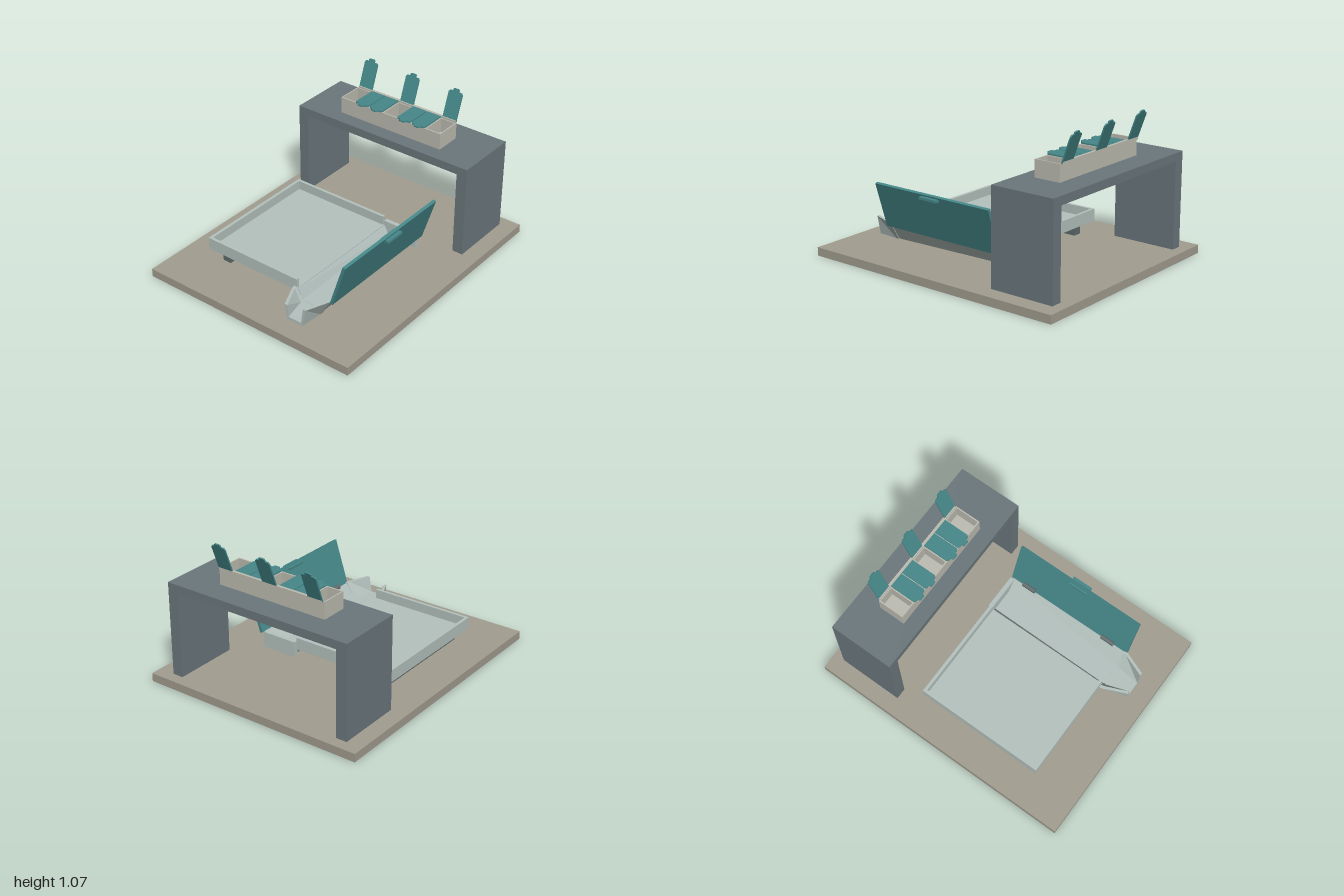
import * as THREE from 'three';

const mat = (color, side = THREE.FrontSide) => new THREE.MeshStandardMaterial({ color, side, flatShading: true });
const SAND = mat(0xa29d90), SLATE = mat(0x6b777c), PALE = mat(0xb4c2be), TEAL = mat(0x468889);
const BONE = mat(0xbdbcb1), DARK = mat(0x5f6b6b);

// Box given by its min and max corners
function box(parent, name, m, x0, x1, y0, y1, z0, z1) {
  const mesh = new THREE.Mesh(new THREE.BoxGeometry(x1 - x0, y1 - y0, z1 - z0), m);
  mesh.position.set((x0 + x1) / 2, (y0 + y1) / 2, (z0 + z1) / 2);
  mesh.name = name;
  parent.add(mesh);
  return mesh;
}

function group(parent, name) {
  const g = new THREE.Group();
  g.name = name;
  parent.add(g);
  return g;
}

// Closed U-shaped cross-section: outer side then inner side
function trough(z, oL, oR, bL, bR, yL, yR, y0, t) {
  return [
    [oL, yL, z], [bL, y0, z], [bR, y0, z], [oR, yR, z],
    [oR - t, yR, z], [bR - t * 0.5, y0 + 0.02, z], [bL + t * 0.5, y0 + 0.02, z], [oL + t, yL, z],
  ];
}

// Join cross-sections running along z and cap both ends
function loft(sections) {
  const pos = [];
  const quad = (a, b, c, d) => pos.push(...a, ...b, ...c, ...a, ...c, ...d);
  for (let i = 0; i < sections.length - 1; i++) {
    const s = sections[i], n = sections[i + 1];
    for (let j = 0; j < 8; j++) {
      const k = (j + 1) % 8;
      quad(s[j], s[k], n[k], n[j]);
    }
  }
  const first = sections[0], last = sections[sections.length - 1];
  for (const [a, b, c, d] of [[0, 1, 6, 7], [1, 2, 5, 6], [2, 3, 4, 5]]) {
    quad(last[a], last[b], last[c], last[d]);
    quad(first[d], first[c], first[b], first[a]);
  }
  const g = new THREE.BufferGeometry();
  g.setAttribute('position', new THREE.Float32BufferAttribute(pos, 3));
  g.computeVertexNormals();
  return g;
}

// Small lid with clipped corners and a finger tab
function smallLidGeometry() {
  const half = [[0.056, 0], [0.056, 0.19], [0.046, 0.202], [0.024, 0.202], [0.024, 0.216], [0.018, 0.222]];
  const pts = [...half, ...half.slice().reverse().map(([x, y]) => [-x, y])];
  const shape = new THREE.Shape(pts.map(([x, y]) => new THREE.Vector2(x, y)));
  return new THREE.ExtrudeGeometry(shape, { depth: 0.01, bevelEnabled: false });
}

// Row of seven compartments, three of them open
function addOrganizer(parent) {
  const g = group(parent, 'compartmentBox');
  const shape = new THREE.Shape();
  const rect = (p, x0, x1, y0, y1) => p.moveTo(x0, y0).lineTo(x1, y0).lineTo(x1, y1).lineTo(x0, y1).closePath();
  rect(shape, -0.424, 0.424, 0.55, 0.745);
  for (let i = -3; i <= 3; i++) {
    const hole = new THREE.Path();
    rect(hole, i * 0.12 - 0.055, i * 0.12 + 0.055, 0.56, 0.735);
    shape.holes.push(hole);
  }
  const walls = new THREE.Mesh(new THREE.ExtrudeGeometry(shape, { depth: 0.12, bevelEnabled: false }), BONE);
  walls.rotation.x = -Math.PI / 2;
  walls.position.y = 0.74;
  walls.name = 'compartmentWalls';
  g.add(walls);
  box(g, 'compartmentFloor', BONE, -0.42, 0.42, 0.741, 0.755, -0.74, -0.555);
  box(g, 'hingeRail', BONE, -0.415, 0.415, 0.853, 0.873, -0.762, -0.742);
  const geo = smallLidGeometry();
  for (let i = -3; i <= 3; i++) {
    const open = i % 3 === 0;
    const lid = new THREE.Mesh(geo, TEAL);
    lid.name = open ? 'openSmallLid' : 'closedSmallLid';
    lid.position.set(i * 0.12, open ? 0.86 : 0.871, open ? -0.757 : -0.746);
    lid.rotation.x = open ? -0.35 : Math.PI / 2;
    g.add(lid);
  }
}

// Shallow tray, open on the side towards the chute
function addTray(parent) {
  const g = group(parent, 'tray');
  box(g, 'trayFloor', PALE, -0.6, 0.175, 0.15, 0.17, -0.28, 0.665);
  box(g, 'trayBackWall', PALE, -0.61, 0.168, 0.15, 0.237, -0.287, -0.265);
  box(g, 'trayFrontWall', PALE, -0.61, 0.168, 0.15, 0.237, 0.65, 0.672);
  box(g, 'traySideWall', PALE, -0.61, -0.588, 0.15, 0.237, -0.265, 0.65);
  box(g, 'trayFoot', DARK, -0.53, -0.465, 0.06, 0.15, -0.22, 0.62);
}

// Sloping trough with a tapered spout, end wall, and hinged lid
function addChute(parent) {
  const g = group(parent, 'chute');
  const body = new THREE.Mesh(loft([
    trough(-0.28, 0.17, 0.45, 0.205, 0.375, 0.165, 0.2, 0.09, 0.012),
    trough(0.67, 0.17, 0.455, 0.205, 0.375, 0.165, 0.2, 0.072, 0.012),
  ]), PALE);
  body.name = 'trough';
  const spout = new THREE.Mesh(loft([
    trough(0.67, 0.145, 0.462, 0.205, 0.38, 0.18, 0.205, 0.07, 0.022),
    trough(0.695, 0.147, 0.46, 0.205, 0.38, 0.18, 0.205, 0.07, 0.022),
    trough(0.86, 0.22, 0.395, 0.24, 0.365, 0.178, 0.205, 0.068, 0.022),
  ]), PALE);
  spout.name = 'spout';
  g.add(body, spout);
  box(g, 'chuteEndWall', PALE, 0.175, 0.44, 0.09, 0.205, -0.302, -0.27);
  box(g, 'chuteFoot', DARK, 0.245, 0.31, 0.06, 0.08, -0.23, 0.62);

  // Lid leaning outwards from its hinge line
  const lid = group(g, 'chuteLid');
  lid.position.set(0.465, 0.19, 0);
  lid.rotation.z = -0.308;
  box(lid, 'lidPanel', TEAL, -0.011, 0.011, 0, 0.342, -0.3, 0.69);
  box(g, 'lidHandle', TEAL, 0.54, 0.605, 0.485, 0.502, 0.12, 0.27);
  for (const z of [-0.147, 0.527]) {
    const hinge = new THREE.Mesh(new THREE.CylinderGeometry(0.018, 0.018, 0.105, 12), DARK);
    hinge.rotation.x = Math.PI / 2;
    hinge.position.set(0.453, 0.208, z);
    hinge.name = 'lidHinge';
    g.add(hinge);
  }
}

export function createModel() {
  const model = new THREE.Group();
  model.name = 'sortingStation';
  box(model, 'basePlate', SAND, -0.84, 0.84, 0, 0.06, -1, 1);

  // Bridge-shaped stand at the back
  const stand = group(model, 'stand');
  box(stand, 'standTop', SLATE, -0.72, 0.72, 0.68, 0.74, -0.92, -0.44);
  for (const s of [-1, 1]) {
    const leg = box(stand, 'standLeg', SLATE, -0.04, 0.04, 0.06, 0.68, -0.92, -0.44);
    leg.position.x = s * 0.68;
  }

  addOrganizer(model);
  addTray(model);
  addChute(model);
  return model;
}
